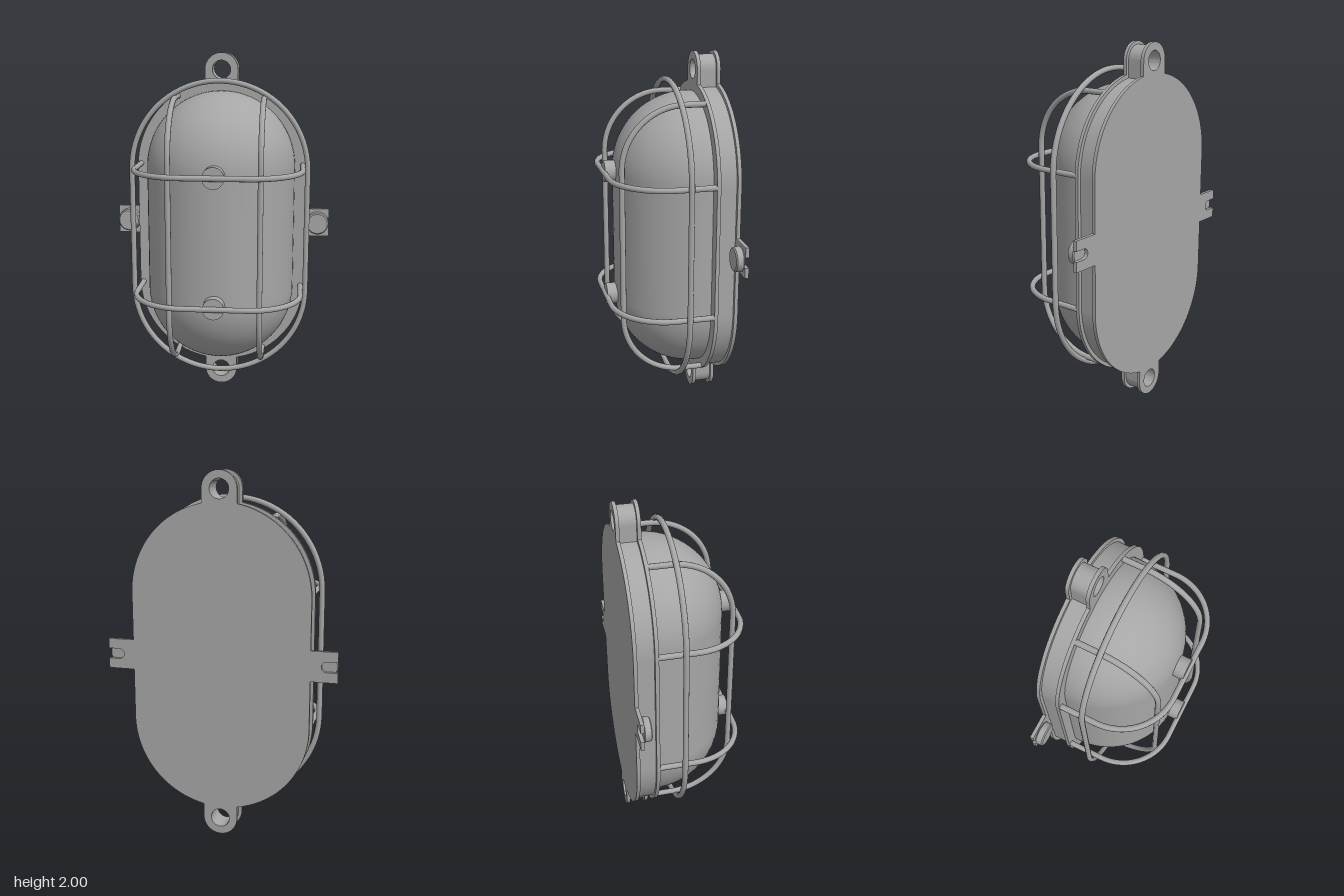
import * as THREE from 'three';
import { toCreasedNormals } from 'three/addons/utils/BufferGeometryUtils.js';

const metal = new THREE.MeshStandardMaterial({ color: 0xa6a6a6 });
metal.name = 'grey metal';

const HALF = 0.35; // half length of the straight sides
const EAR = 0.905; // distance of the ear holes from the centre

export function createModel() {
  const group = new THREE.Group();
  group.name = 'bulkheadLamp';

  const add = (name, geometry, x = 0, y = 1, z = 0) => {
    const mesh = new THREE.Mesh(geometry, metal);
    mesh.name = name;
    mesh.position.set(x, y, z);
    group.add(mesh);
    return mesh;
  };

  const extrude = (shape, depth) => toCreasedNormals(
    new THREE.ExtrudeGeometry(shape, { depth, bevelEnabled: false, curveSegments: 24 }), 0.6);

  // Stadium outline with a round mounting ear at each end
  const baseShape = (r, w) => {
    const a = Math.acos(w / r);
    const s = new THREE.Shape();
    s.moveTo(r, -HALF);
    s.lineTo(r, HALF);
    s.absarc(0, HALF, r, 0, a);
    s.absarc(0, EAR, w, 0, Math.PI);
    s.absarc(0, HALF, r, Math.PI - a, Math.PI);
    s.lineTo(-r, -HALF);
    s.absarc(0, -HALF, r, Math.PI, Math.PI + a);
    s.absarc(0, -EAR, w, Math.PI, 2 * Math.PI);
    s.absarc(0, -HALF, r, 2 * Math.PI - a, 2 * Math.PI);
    for (const y of [EAR, -EAR]) {
      s.holes.push(new THREE.Path().absarc(0, y, 0.052, 0, 2 * Math.PI, true));
    }
    return s;
  };

  // Base: recessed body between two flanges
  add('backFlange', extrude(baseShape(0.49, 0.095), 0.02), 0, 1, -0.325);
  add('baseBody', extrude(baseShape(0.47, 0.077), 0.09), 0, 1, -0.305);
  add('frontFlange', extrude(baseShape(0.49, 0.095), 0.02), 0, 1, -0.215);

  // Glass dome: front half of a capsule, flattened behind
  const dome = new THREE.CapsuleGeometry(0.427, 0.72, 24, 64, 1);
  const p = dome.attributes.position;
  for (let i = 0; i < p.count; i++) p.setZ(i, Math.max(p.getZ(i), -0.03));
  add('dome', dome, 0, 1, -0.177);

  // Slotted side lugs with clamp screws
  const lug = new THREE.Shape();
  lug.moveTo(0.489, -0.083);
  lug.lineTo(0.635, -0.083);
  lug.lineTo(0.635, -0.028);
  lug.lineTo(0.575, -0.028);
  lug.absarc(0.575, 0, 0.028, -Math.PI / 2, Math.PI / 2, true);
  lug.lineTo(0.635, 0.028);
  lug.lineTo(0.635, 0.083);
  lug.lineTo(0.489, 0.083);
  const screw = toCreasedNormals(new THREE.LatheGeometry([
    [0, 0], [0.062, 0], [0.067, 0.006], [0.065, 0.038], [0.058, 0.044], [0, 0.044],
  ].map(([x, y]) => new THREE.Vector2(x, y)), 32), 0.5);
  screw.rotateX(Math.PI / 2);
  for (const side of [1, -1]) {
    const plate = add(side > 0 ? 'leftLug' : 'rightLug', extrude(lug, 0.02), 0, 1.003, -0.325);
    if (side < 0) {
      plate.rotation.z = Math.PI;
    }
    add(side > 0 ? 'leftScrew' : 'rightScrew', screw, side * 0.567, 1.003, -0.305);
  }

  // Wire guard: tubes along flat paths placed in space by a mapping
  const wire = (path, map, closed = false) => {
    const points = path.getSpacedPoints(72).map(map);
    if (closed) points.pop();
    return new THREE.TubeGeometry(new THREE.CatmullRomCurve3(points, closed), 120, 0.016, 10, closed);
  };

  // U-shaped hoop: legs at +-w, front at depth d, corner radius r
  const hoop = (w, d, r) => {
    const path = new THREE.Path();
    path.moveTo(w, -0.2);
    path.lineTo(w, d - r);
    path.absarc(w - r, d - r, r, 0, Math.PI / 2);
    path.lineTo(r - w, d);
    path.absarc(r - w, d - r, r, Math.PI / 2, Math.PI);
    path.lineTo(-w, -0.2);
    return path;
  };

  const knob = new THREE.CylinderGeometry(0.06, 0.06, 0.105, 32);
  knob.rotateX(Math.PI / 2);
  for (const y of [0.64, 1.363]) {
    add('crossWire', wire(hoop(0.472, 0.306, 0.3), (v) => new THREE.Vector3(v.x, 0, v.y)), 0, y, 0);
    add('knob', knob, 0, y, 0.252);
  }
  for (const x of [-0.25, 0.25]) {
    add('longWire', wire(hoop(0.755, 0.252, 0.335), (v) => new THREE.Vector3(0, v.x, v.y)), x, 1, 0);
  }

  // Ring wire around the dome
  const ring = new THREE.Path();
  ring.moveTo(0.5, -HALF);
  ring.lineTo(0.5, HALF);
  ring.absarc(0, HALF, 0.5, 0, Math.PI);
  ring.lineTo(-0.5, -HALF);
  ring.absarc(0, -HALF, 0.5, Math.PI, 2 * Math.PI);
  add('ringWire', wire(ring, (v) => new THREE.Vector3(v.x, v.y, 0), true), 0, 1, -0.058);

  return group;
}
